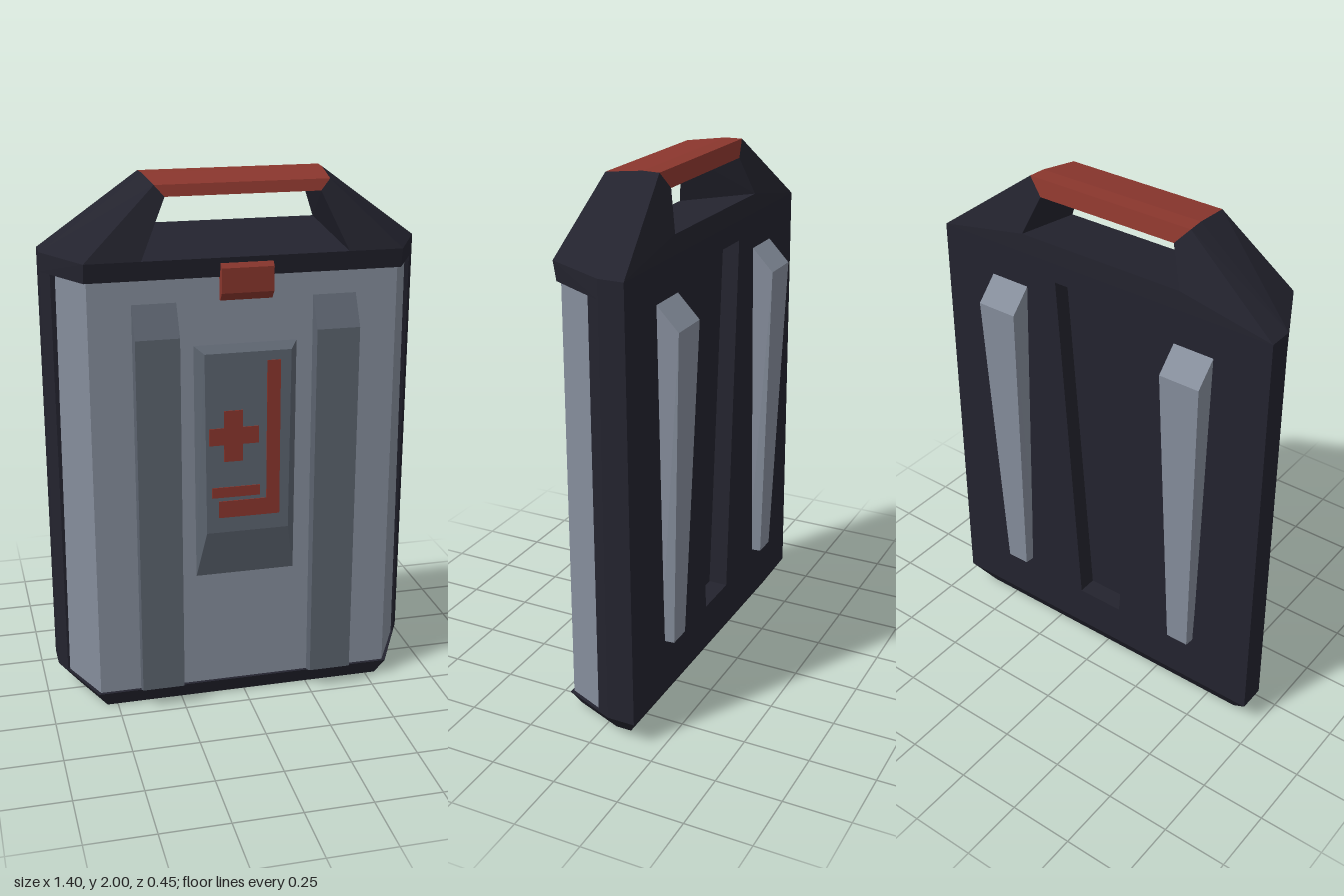
import * as THREE from 'three';
import { ConvexGeometry } from 'three/addons/geometries/ConvexGeometry.js';

const mat = (name, color) => {
  const m = new THREE.MeshStandardMaterial({ color });
  m.name = name;
  return m;
};

export function createModel() {
  const dark = mat('dark shell', 0x23232e);
  const light = mat('light grey', 0x858d9b);
  const mid = mat('mid grey', 0x5c646f);
  const red = mat('red', 0x8a362d);
  const model = new THREE.Group();
  model.name = 'case';

  const add = (name, geometry, material) => {
    const mesh = new THREE.Mesh(geometry, material);
    mesh.name = name;
    model.add(mesh);
    return mesh;
  };
  // faceted solid around a few corner points
  const hull = (name, pts, material) =>
    add(name, new ConvexGeometry(pts.map(p => new THREE.Vector3(...p))), material);
  // corner points reflected across x = 0
  const sym = pts => pts.flatMap(([x, y, z]) => [[x, y, z], [-x, y, z]]);
  const flip = (pts, s) => pts.map(([x, y, z]) => [x * s, y, z]);

  // back slab with a tapering recess, leaning very slightly
  const slab = new THREE.Shape([
    [-0.7, 0.09], [0.7, 0.09], [0.7, 1.73], [-0.7, 1.73],
  ].map(p => new THREE.Vector2(...p)));
  slab.holes.push(new THREE.Path([
    [-0.095, 0.26], [-0.19, 1.655], [0.19, 1.655], [0.095, 0.26],
  ].map(p => new THREE.Vector2(...p))));
  const slabGeo = new THREE.ExtrudeGeometry(slab, { depth: 0.07, bevelEnabled: false });
  const pos = slabGeo.attributes.position;
  for (let i = 0; i < pos.count; i++) {
    pos.setZ(i, pos.getZ(i) > 0.03 ? -0.08 : -0.156 + 0.007 * pos.getY(i));
  }
  slabGeo.computeVertexNormals();
  add('backShell', slabGeo, dark);

  // shell core, base and collar
  hull('shellCore', sym([0.09, 1.73].flatMap(y =>
    [[0.7, y, -0.08], [0.7, y, -0.05], [0.67, y, 0.005]])), dark);
  hull('base', sym([
    [0.7, 0.09, -0.155], [0.7, 0.09, -0.05], [0.67, 0.09, 0.005], [0.575, 0.06, 0.18],
    [0.62, 0, -0.1], [0.62, 0, -0.04], [0.54, 0, 0.157],
  ]), dark);
  hull('collar', sym([
    [0.7, 1.73, -0.08], [0.7, 1.73, -0.05], [0.575, 1.73, 0.19],
    [0.7, 1.66, -0.08], [0.7, 1.66, -0.05], [0.575, 1.66, 0.178],
  ]), dark);

  // front cover
  hull('frontPanel', sym([
    [0.655, 1.67, 0], [0.565, 1.67, 0.166], [0.665, 0.08, 0], [0.565, 0.055, 0.17],
  ]), light);

  // handle: sloping sill, two legs, grip bar
  hull('handleSill', sym([
    [0.375, 1.73, 0.19], [0.335, 1.8, -0.142], [0.375, 1.73, -0.144],
  ]), dark);
  const end = [
    [0.335, 2, -0.085], [0.33, 2, -0.02], [0.315, 1.98, 0.13],
    [0.28, 1.94, -0.1], [0.28, 1.94, 0.14],
  ];
  for (const s of [1, -1]) {
    hull('handleLeg', flip([
      [0.7, 1.73, -0.144], [0.7, 1.73, -0.05], [0.575, 1.73, 0.19],
      [0.375, 1.73, 0.19], [0.335, 1.8, -0.142], [0.375, 1.73, -0.144], ...end,
    ], s), dark);
  }
  hull('handleGrip', sym(end), red);

  // front and back ribs
  for (const s of [1, -1]) {
    hull('frontRib', flip([0.25, 0.41].flatMap(x => [
      [x, 1.585, 0.16], [x, 1.46, 0.228], [x, 0.08, 0.222], [x, 0.052, 0.16],
    ]), s), mid);
    hull('backRib', flip([
      [0.32, 1.6, -0.14], [0.48, 1.6, -0.14], [0.32, 1.51, -0.227], [0.48, 1.51, -0.227],
      [0.35, 0.3, -0.14], [0.45, 0.3, -0.14], [0.355, 0.3, -0.19], [0.445, 0.3, -0.19],
    ], s), light);
  }

  // centre plate
  hull('centrePlate', sym([
    [0.195, 1.415, 0.16], [0.19, 0.5, 0.166], [0.16, 1.39, 0.211], [0.155, 0.7, 0.211],
  ]), mid);

  // painted marks: [x0, x1, y0, y1]
  const marks = [
    [-0.145, -0.09, 1.045, 1.11], [-0.09, -0.02, 0.98, 1.175], [-0.02, 0.04, 1.045, 1.11],
    [0.07, 0.12, 0.825, 1.355], [-0.11, 0.12, 0.76, 0.825], [-0.135, 0.045, 0.84, 0.88],
  ];
  for (const [x0, x1, y0, y1] of marks) {
    add('paintedMark', new THREE.BoxGeometry(x1 - x0, y1 - y0, 0.005), red)
      .position.set((x0 + x1) / 2, (y0 + y1) / 2, 0.212);
  }

  // latch
  hull('latch', sym([
    [0.095, 1.71, 0.16], [0.095, 1.71, 0.192], [0.095, 1.695, 0.207],
    [0.095, 1.605, 0.205], [0.095, 1.575, 0.18], [0.095, 1.575, 0.16],
  ]), red);

  return model;
}
